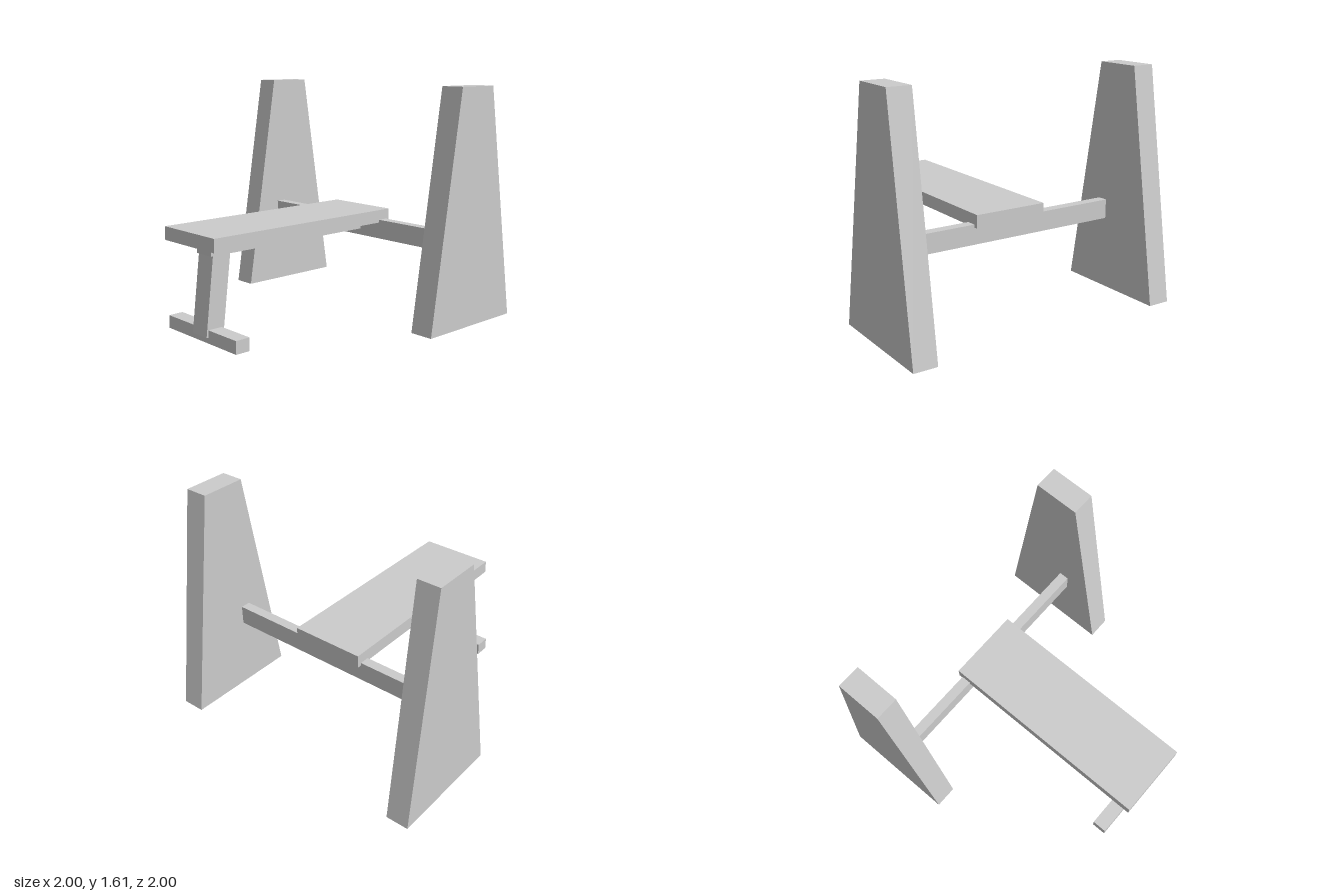
import * as THREE from 'three';

const material = new THREE.MeshStandardMaterial({ color: 0xcccccc, flatShading: true });

export function createModel() {
  const model = new THREE.Group();

  const add = (name, geometry) => {
    const mesh = new THREE.Mesh(geometry, material);
    mesh.name = name;
    model.add(mesh);
    return mesh;
  };

  // Box given by its limits on each axis
  const box = (name, [x0, x1], [y0, y1], [z0, z1]) =>
    add(name, new THREE.BoxGeometry(x1 - x0, y1 - y0, z1 - z0))
      .position.set((x0 + x1) / 2, (y0 + y1) / 2, (z0 + z1) / 2);

  // Side outline extruded from z0 to z1
  const slab = (name, outline, z0, z1) => {
    const shape = new THREE.Shape(outline.map(([x, y]) => new THREE.Vector2(x, y)));
    add(name, new THREE.ExtrudeGeometry(shape, { depth: z1 - z0, bevelEnabled: false }))
      .position.z = z0;
  };

  // Tapered upright on each side
  const upright = [[0.165, 0.012], [0.998, 0.012], [0.74, 1.61], [0.42, 1.61]];
  slab('frontUpright', upright, 0.835, 1);
  slab('backUpright', upright, -1, -0.84);

  // Crossbar joining the uprights
  box('crossbar', [0.45, 0.52], [0.515, 0.65], [-0.845, 0.84]);

  // Bench pad and the beam beneath it
  box('benchPad', [-1, 0.55], [0.63, 0.72], [-0.26, 0.27]);
  box('supportBeam', [-0.89, 0.47], [0.56, 0.635], [-0.065, 0.085]);

  // Leaning leg on its wide foot
  slab('leg', [[-0.936, 0.04], [-0.803, 0.032], [-0.737, 0.58], [-0.873, 0.58]], -0.065, 0.085);
  box('foot', [-0.922, -0.816], [0, 0.088], [-0.357, 0.37]);

  return model;
}
